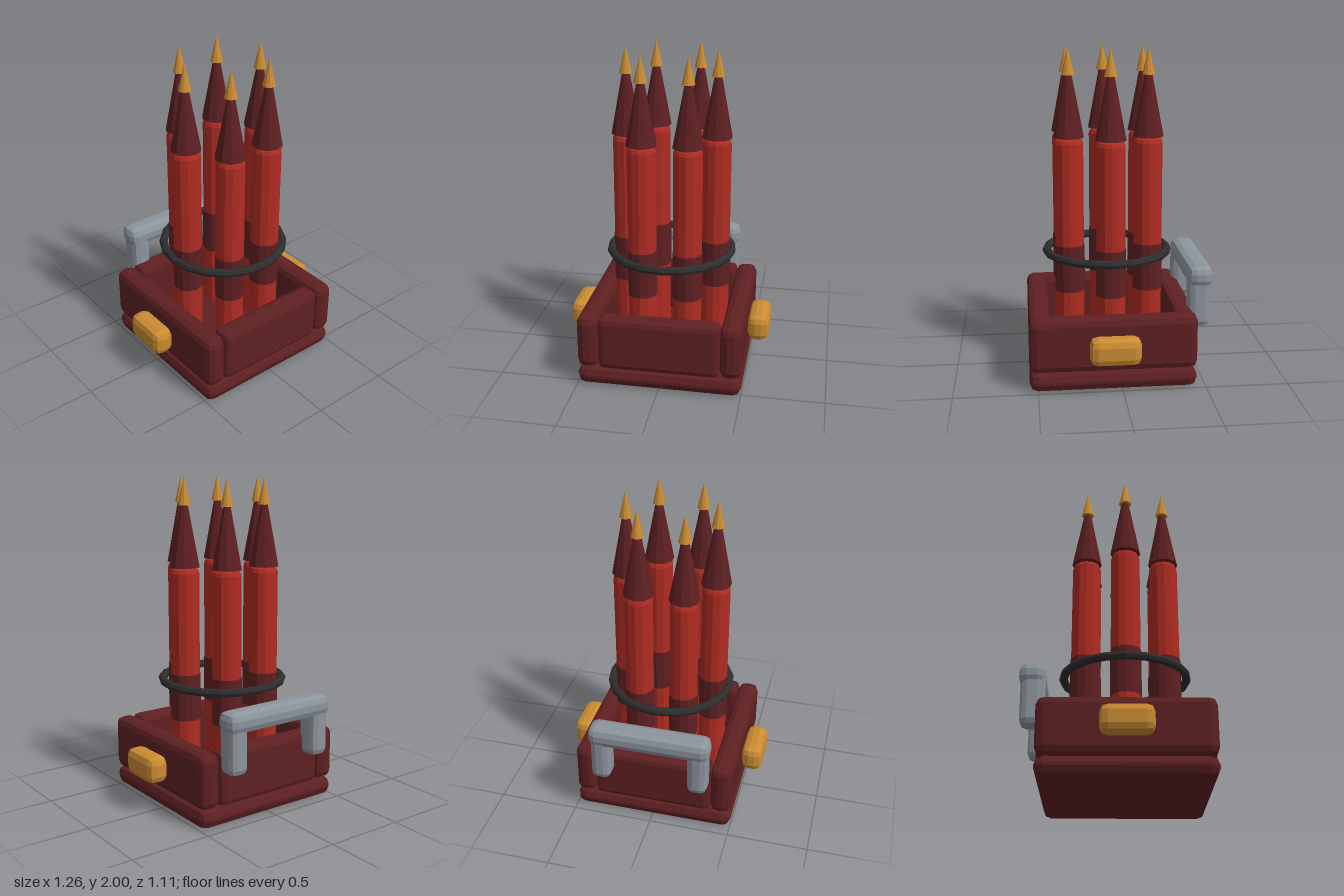
import * as THREE from 'three';
import { RoundedBoxGeometry } from 'three/addons/geometries/RoundedBoxGeometry.js';

const makeMaterial = (name, color) => {
  const material = new THREE.MeshStandardMaterial({ color });
  material.name = name;
  return material;
};

// Faceted normals for the low-poly look
function faceted(geometry) {
  const flat = geometry.index ? geometry.toNonIndexed() : geometry;
  flat.computeVertexNormals();
  return flat;
}

export function createModel() {
  const model = new THREE.Group();
  model.name = 'rocketLauncher';

  const maroon = makeMaterial('maroon', 0x5e2022);
  const red = makeMaterial('red', 0xb02c22);
  const gold = makeMaterial('gold', 0xcc8c32);
  const grey = makeMaterial('grey', 0x8c959d);
  const black = makeMaterial('black', 0x2d2d2d);

  function add(parent, name, geometry, material, x, y, z) {
    const mesh = new THREE.Mesh(faceted(geometry), material);
    mesh.name = name;
    mesh.position.set(x, y, z);
    parent.add(mesh);
    return mesh;
  }

  // Chamfered block given by its minimum and maximum corners
  function block(name, material, [x0, y0, z0], [x1, y1, z1], radius) {
    const geometry = new RoundedBoxGeometry(x1 - x0, y1 - y0, z1 - z0, 1, radius);
    return add(model, name, geometry, material, (x0 + x1) / 2, (y0 + y1) / 2, (z0 + z1) / 2);
  }

  // Tray: floor slab and four walls
  block('baseSlab', maroon, [-0.5, 0.005, -0.45], [0.5, 0.122, 0.55], 0.05);
  block('frontWall', maroon, [-0.37, 0.122, 0.42], [0.37, 0.457, 0.55], 0.035);
  block('backWall', maroon, [-0.37, 0.122, -0.45], [0.37, 0.457, -0.32], 0.035);

  // Side walls with their gold knobs, and handle posts
  for (const [side, s] of [['left', 1], ['right', -1]]) {
    const span = (a, b) => (s > 0 ? [a, b] : [-b, -a]);
    const [w0, w1] = span(0.37, 0.5);
    block(side + 'Wall', maroon, [w0, 0.122, -0.45], [w1, 0.457, 0.55], 0.045);
    const [k0, k1] = span(0.5, 0.63);
    block(side + 'Knob', gold, [k0, 0.205, -0.1], [k1, 0.37, 0.2], 0.045);
    const [p0, p1] = span(0.24, 0.365);
    block(side + 'HandlePost', grey, [p0, 0.33, -0.55], [p1, 0.67, -0.41], 0.04);
  }
  block('handleBar', grey, [-0.375, 0.58, -0.56], [0.375, 0.71, -0.41], 0.045);

  // Six rockets standing in a circle
  const tubeProfile = [[0, 0.11], [0.087, 0.11], [0.087, 1.435], [0.079, 1.457], [0.06, 1.468], [0, 1.468]]
    .map(([r, y]) => new THREE.Vector2(r, y));
  for (let i = 0; i < 6; i++) {
    const angle = (i * Math.PI) / 3;
    const rocket = new THREE.Group();
    rocket.name = 'rocket' + (i + 1);
    rocket.position.set(0.275 * Math.cos(angle), 0, 0.05 + 0.275 * Math.sin(angle));
    add(rocket, 'rocketBody', new THREE.LatheGeometry(tubeProfile, 12), red, 0, 0, 0);
    add(rocket, 'rocketBand', new THREE.CylinderGeometry(0.091, 0.091, 0.285, 12), maroon, 0, 0.675, 0);
    add(rocket, 'noseCone', new THREE.CylinderGeometry(0.021, 0.092, 0.375, 10), maroon, 0, 1.6575, 0);
    add(rocket, 'noseTip', new THREE.ConeGeometry(0.039, 0.163, 10), gold, 0, 1.9185, 0);
    model.add(rocket);
  }

  // Hoop around the rockets
  const hoop = add(model, 'retainingHoop', new THREE.TorusGeometry(0.375, 0.026, 8, 20), black, 0, 0.747, 0.05);
  hoop.rotation.x = Math.PI / 2;

  return model;
}
